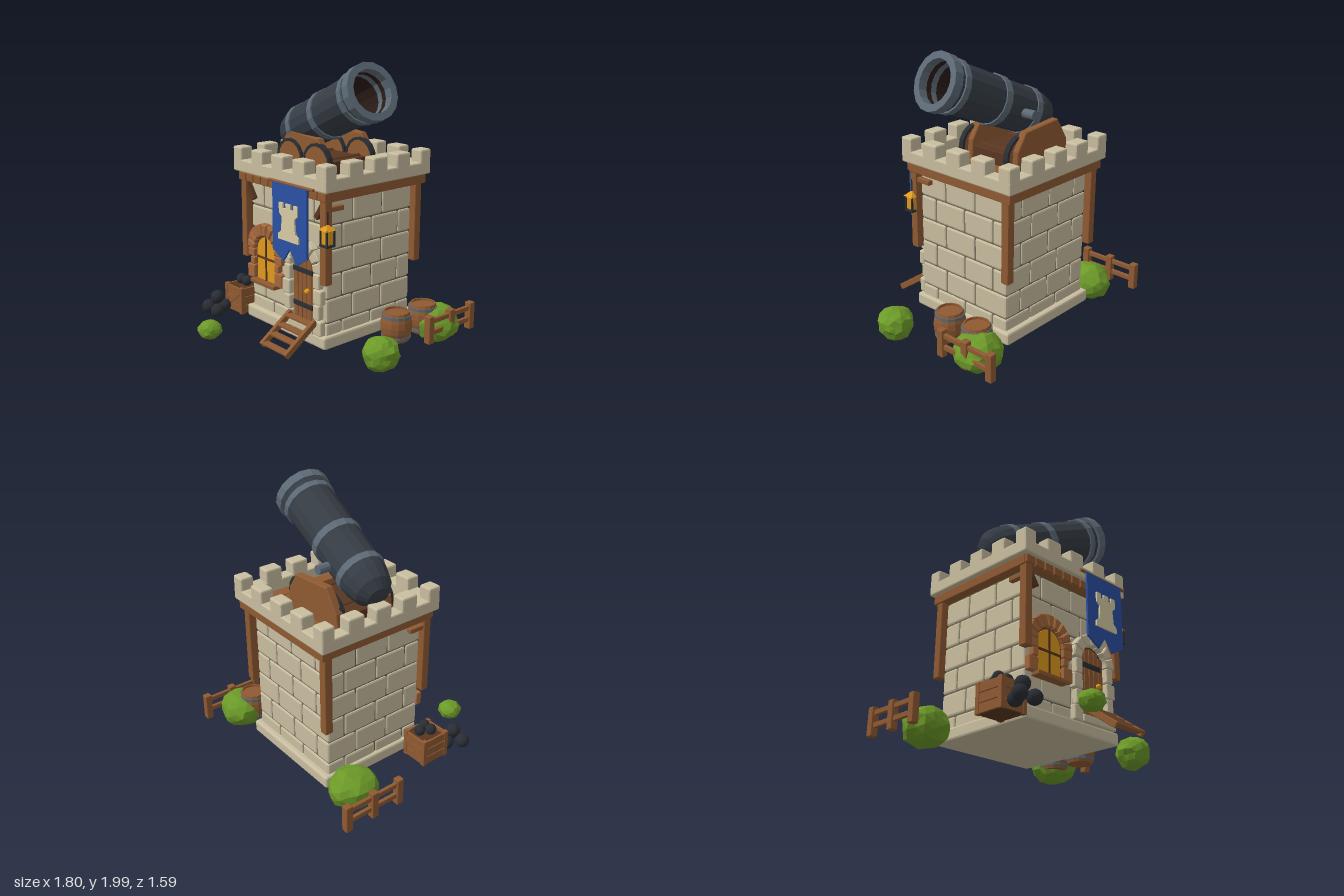
import * as THREE from 'three';
import { RoundedBoxGeometry } from 'three/addons/geometries/RoundedBoxGeometry.js';

const STONE = 0xc9bea0, MORTAR = 0x6e6856, WOOD = 0x8f5a32, DARK_WOOD = 0x5a3620, BRICK = 0xa5683c;
const IRON = 0x363d45, STEEL = 0x5d6a76, BLACK = 0x2a2e34, GOLD = 0xe09a1c, BLUE = 0x2b50a5, GREEN = 0x6c9a28;
const CX = -0.035, CZ = -0.16, GROUND = 0.08;

const mats = {};
const mat = c => mats[c] ??= new THREE.MeshStandardMaterial({ color: c, flatShading: true, side: THREE.DoubleSide });

function add(parent, name, geo, color, pos = [0, 0, 0], rot = [0, 0, 0]) {
  const m = new THREE.Mesh(geo, mat(color));
  m.name = name;
  m.position.set(...pos);
  m.rotation.set(...rot);
  parent.add(m);
  return m;
}
function group(parent, name, pos = [0, 0, 0]) {
  const g = new THREE.Group();
  g.name = name;
  g.position.set(...pos);
  parent.add(g);
  return g;
}
// Bevelled box given by its limits
function block(parent, name, color, [x0, x1], [y0, y1], [z0, z1], r = 0.006) {
  return add(parent, name, new RoundedBoxGeometry(x1 - x0, y1 - y0, z1 - z0, 1, r), color,
    [(x0 + x1) / 2, (y0 + y1) / 2, (z0 + z1) / 2]);
}
const extrude = (shape, depth, bevel = 0) => new THREE.ExtrudeGeometry(shape, {
  depth, curveSegments: 6, bevelEnabled: bevel > 0, bevelSize: bevel, bevelThickness: bevel, bevelOffset: -bevel, bevelSegments: 1 });
const polygon = pts => new THREE.Shape(pts.map(p => new THREE.Vector2(...p)));
const lathe = (pts, n) => new THREE.LatheGeometry(pts.map(p => new THREE.Vector2(...p)), n);
const ball = r => new THREE.IcosahedronGeometry(r, 2);

// Half circle on top of straight sides, base at y = 0
function archShape(r, h) {
  const s = new THREE.Shape();
  s.moveTo(-r, 0).lineTo(r, 0).lineTo(r, h).absarc(0, h, r, 0, Math.PI, false).lineTo(-r, 0);
  return s;
}
function archStones(parent, name, color, [x, y, z], r0, r1, n, depth) {
  for (let i = 0; i < n; i++) {
    const a0 = Math.PI * i / n + 0.02, a1 = Math.PI * (i + 1) / n - 0.02, s = new THREE.Shape();
    s.absarc(0, 0, r1, a0, a1, false).absarc(0, 0, r0, a1, a0, true);
    add(parent, name, extrude(s, depth, 0.008), color, [x, y, z]);
  }
}

function buildWalls(root) {
  const tower = group(root, 'tower');
  block(tower, 'plinth', STONE, [-0.475, 0.405], [GROUND, 0.17], [-0.6, 0.28], 0.015);
  block(tower, 'wallCore', MORTAR, [-0.44, 0.37], [0.1, 1.15], [-0.55, 0.23]);
  // Staggered stone courses on the four sides
  const courses = [[0, 0.3, 0.64, 1], [0, 0.18, 0.52, 0.84, 1]];
  for (let s = 0; s < 4; s++) {
    const side = group(tower, 'stoneWall', [CX, 0, CZ]);
    side.rotation.y = s * Math.PI / 2;
    const half = s % 2 ? 0.402 : 0.415, out = s % 2 ? 0.415 : 0.4;
    for (let row = 0; row < 6; row++) {
      const cuts = courses[(row + (s % 2)) % 2], y = 0.083 + row * 0.172;
      for (let i = 0; i < cuts.length - 1; i++)
        block(side, 'stone', STONE, [(cuts[i] * 2 - 1) * half + 0.003, (cuts[i + 1] * 2 - 1) * half - 0.003],
          [y + 0.003, y + 0.169], [out - 0.06, out], 0.014);
    }
  }
  // Timber ring, corner posts and braces
  block(tower, 'timberRing', WOOD, [-0.51, 0.445], [1.12, 1.19], [-0.64, 0.29]);
  for (let i = 0; i < 11; i++) block(tower, 'joistEnd', WOOD, [-0.505 + i * 0.087, -0.427 + i * 0.087], [1.125, 1.185], [0.25, 0.31]);
  for (const sx of [-1, 1]) for (const sz of [-1, 1]) {
    const x = CX + sx * 0.435, z = CZ + sz * 0.425;
    block(tower, 'cornerPost', WOOD, [x - 0.03, x + 0.03], [0.55, 1.13], [z - 0.03, z + 0.03]);
    if (sz > 0) {
      add(tower, 'brace', new THREE.BoxGeometry(0.035, 0.16, 0.035), DARK_WOOD, [x - sx * 0.045, 1.06, z], [0, 0, -sx * 0.6]);
      block(tower, 'bracket', WOOD, [x - 0.02, x + 0.02], [1.045, 1.08], [0.12, 0.26]);
    }
  }
  // Parapet with merlons, and the plank deck
  for (const s of [-1, 1]) {
    const z = CZ - 0.005 + s * 0.445, x = CX + s * 0.455;
    block(tower, 'parapet', STONE, [-0.54, 0.47], [1.19, 1.28], [z - 0.05, z + 0.05], 0.01);
    block(tower, 'parapet', STONE, [x - 0.05, x + 0.05], [1.19, 1.28], [-0.62, 0.29], 0.01);
    for (let i = -2; i <= 2; i++) {
      const w = Math.abs(i) === 2 ? 0.05 : 0.065, mx = CX + i * 0.2275, mz = CZ - 0.005 + i * 0.2225;
      block(tower, 'merlon', STONE, [mx - w, mx + w], [1.2, 1.37], [z - 0.05, z + 0.05], 0.012);
      if (Math.abs(i) < 2) block(tower, 'merlon', STONE, [x - 0.05, x + 0.05], [1.2, 1.37], [mz - w, mz + w], 0.012);
    }
  }
  for (let i = 0; i < 8; i++) block(tower, 'deckPlank', WOOD, [-0.44 + i * 0.102, -0.342 + i * 0.102], [1.17, 1.205], [-0.6, 0.23]);
}

function buildWindow(root) {
  const w = group(root, 'window', [-0.253, 0.4, 0.24]);
  add(w, 'windowFrame', extrude(archShape(0.122, 0.225), 0.015), DARK_WOOD);
  add(w, 'windowPane', extrude(archShape(0.105, 0.225), 0.022), GOLD);
  block(w, 'mullion', DARK_WOOD, [-0.007, 0.007], [0, 0.33], [0.015, 0.03], 0.002);
  block(w, 'transom', DARK_WOOD, [-0.105, 0.105], [0.165, 0.18], [0.015, 0.03], 0.002);
  block(w, 'windowSill', WOOD, [-0.14, 0.14], [-0.025, 0.005], [0, 0.07]);
  archStones(w, 'windowArchBrick', BRICK, [0, 0.225, 0], 0.117, 0.205, 9, 0.04);
  for (const s of [-1, 1]) [[0, 0.1, 0.2], [0.105, 0.16, 0.165], [0.165, 0.225, 0.2]].forEach(([y0, y1, e]) =>
    block(w, 'windowBrick', BRICK, [s > 0 ? 0.117 : -e, s > 0 ? e : -0.117], [y0, y1], [0, 0.045], 0.008));
}

function buildDoor(root) {
  const d = group(root, 'door', [0.167, 0.17, 0.24]);
  add(d, 'doorPanel', extrude(archShape(0.125, 0.44), 0.006), DARK_WOOD);
  for (let i = -2; i <= 2; i++) {
    const x = i * 0.047, top = 0.44 + Math.sqrt(0.0156 - x * x) - 0.02;
    block(d, 'doorPlank', WOOD, [x - 0.021, x + 0.021], [0.03, top], [0, 0.016], 0.003);
  }
  for (const y of [0.15, 0.4]) block(d, 'doorBand', BLACK, [-0.115, 0.09], [y, y + 0.035], [0.01, 0.024], 0.003);
  add(d, 'doorKnob', ball(0.02), GOLD, [0.05, 0.285, 0.035]);
  block(d, 'threshold', STONE, [-0.13, 0.13], [0, 0.05], [0, 0.06]);
  for (const s of [-1, 1]) for (let i = 0; i < 4; i++) {
    const e = i % 2 ? 0.185 : 0.205;
    block(d, 'doorJambStone', STONE, [s > 0 ? 0.122 : -e, s > 0 ? e : -0.122], [i * 0.11, i * 0.11 + 0.106], [0, 0.05], 0.01);
  }
  archStones(d, 'doorArchStone', STONE, [0, 0.44, 0], 0.122, 0.205, 7, 0.042);
  // Sloping wooden steps
  const st = group(root, 'steps', [0.19, 0.18, 0.42]);
  for (const s of [-1, 1]) add(st, 'stepRail', new RoundedBoxGeometry(0.03, 0.045, 0.32, 1, 0.005), WOOD, [s * 0.13, 0, 0], [0.61, 0, 0]);
  for (let i = 0; i < 4; i++) add(st, 'tread', new RoundedBoxGeometry(0.25, 0.02, 0.055, 1, 0.005), WOOD, [0, 0.075 - i * 0.05, -0.1 + i * 0.07]);
}

function buildBanner(root) {
  const b = group(root, 'banner', [0.172, 0, 0.375]);
  add(b, 'bannerPole', new THREE.CylinderGeometry(0.011, 0.011, 0.46, 8), WOOD, [0, 1.21, 0], [0, 0, Math.PI / 2]);
  add(b, 'bannerCloth', extrude(polygon([[-0.18, 1.205], [-0.18, 0.735], [-0.07, 0.67], [0, 0.77], [0.07, 0.67], [0.18, 0.735], [0.18, 1.205]]), 0.015), BLUE);
  // Plain turret silhouette
  const half = [[0.105, 0.825], [0.105, 0.865], [0.075, 0.885], [0.065, 0.985], [0.095, 1.01], [0.095, 1.08], [0.055, 1.08], [0.055, 1.045], [0.025, 1.045], [0.025, 1.08]];
  add(b, 'bannerTurret', extrude(polygon([...half, ...half.map(([x, y]) => [-x, y]).reverse()]), 0.014), 0xd8cca4, [0, 0, 0.013]);
  // Lantern on the corner post
  const l = group(root, 'lantern', [0.43, 0.89, 0.28]);
  block(l, 'lanternGlass', GOLD, [-0.03, 0.03], [-0.05, 0.05], [-0.03, 0.03]);
  for (const x of [-0.031, 0.031]) for (const z of [-0.031, 0.031]) block(l, 'lanternBar', BLACK, [x - 0.006, x + 0.006], [-0.055, 0.055], [z - 0.006, z + 0.006], 0.001);
  block(l, 'lanternBase', BLACK, [-0.039, 0.039], [-0.065, -0.05], [-0.039, 0.039], 0.003);
  add(l, 'lanternRoof', new THREE.CylinderGeometry(0.008, 0.062, 0.035, 4), GOLD, [0, 0.065, 0], [0, Math.PI / 4, 0]);
  block(l, 'lanternHook', BLACK, [-0.005, 0.005], [0.08, 0.17], [-0.005, 0.005], 0.001);
}

function buildCannon(root) {
  const tip = new THREE.Vector3(-0.46, 1.41, -0.155), axis = new THREE.Vector3(0.96, 0.41, 0.11);
  const c = group(root, 'cannon', tip.toArray());
  c.quaternion.setFromUnitVectors(new THREE.Vector3(0, 1, 0), axis.normalize());
  const N = 16;
  add(c, 'barrelTube', lathe([[0, -0.03], [0.08, -0.01], [0.135, 0.05], [0.16, 0.14], [0.165, 0.22], [0.178, 1.0]], N), IRON);
  const ring = (name, y0, y1, r, inner) => add(c, name, lathe([[inner, y0], [r, y0], [r, y1], [inner, y1], [inner, y0]], N), STEEL);
  ring('tubeBand', 0.195, 0.245, 0.174, 0.15);
  ring('tubeBand', 0.505, 0.56, 0.18, 0.15);
  ring('muzzleBand', 0.9, 0.945, 0.19, 0.15);
  ring('muzzleRing', 0.985, 1.05, 0.2, 0.15);
  add(c, 'bore', lathe([[0.151, 1.045], [0.148, 0.55], [0, 0.55]], N), 0x2a1c18);

  // Carriage under the tube
  const k = group(root, 'carriage');
  add(k, 'trunnion', new THREE.CylinderGeometry(0.033, 0.033, 0.4, 12), STEEL, [-0.11, 1.53, -0.17], [Math.PI / 2, 0, 0]);
  const cheek = polygon([[-0.4, 1.2], [0.14, 1.2], [0.13, 1.34], [0.05, 1.46], [-0.28, 1.485], [-0.38, 1.33]]);
  for (const z of [-0.425, -0.015]) add(k, 'cheek', extrude(cheek, 0.045, 0.006), WOOD, [0, 0, z]);
  block(k, 'carriageBed', DARK_WOOD, [-0.38, 0.12], [1.2, 1.3], [-0.39, 0]);
  for (const x of [-0.24, 0.05]) {
    add(k, 'axle', new THREE.CylinderGeometry(0.025, 0.025, 0.42, 8), DARK_WOOD, [x, 1.29, -0.17], [Math.PI / 2, 0, 0]);
    for (const z of [-0.372, 0.035]) {
      add(k, 'wheel', new THREE.CylinderGeometry(0.128, 0.128, 0.03, 16), WOOD, [x, 1.29, z], [Math.PI / 2, 0, 0]);
      add(k, 'wheelTyre', lathe([[0.122, -0.019], [0.142, -0.019], [0.142, 0.019], [0.122, 0.019], [0.122, -0.019]], 16), BLACK, [x, 1.29, z], [Math.PI / 2, 0, 0]);
    }
  }
}

function buildYard(root) {
  // Barrels
  for (const [x, z] of [[0.58, -0.23], [0.59, -0.49]]) {
    const b = group(root, 'barrel', [x, GROUND, z]);
    add(b, 'staves', lathe([[0, 0.005], [0.09, 0.005], [0.108, 0.07], [0.112, 0.11], [0.108, 0.15], [0.09, 0.215], [0.08, 0.215], [0.08, 0.2], [0, 0.2]], 14), WOOD);
    for (const y of [0.025, 0.175]) add(b, 'hoop', lathe([[0.098, y], [0.105, y], [0.105, y + 0.02], [0.098, y + 0.02]], 14), STEEL);
  }
  // Crate of cannonballs
  const c = group(root, 'crate', [-0.605, GROUND, 0.2]);
  block(c, 'crateBox', DARK_WOOD, [-0.095, 0.095], [0, 0.17], [-0.105, 0.105]);
  for (const s of [-1, 1]) {
    for (let i = 0; i < 3; i++) {
      block(c, 'crateSlat', WOOD, [-0.1, 0.1], [0.004 + i * 0.066, 0.066 + i * 0.066], [s * 0.105 - 0.008, s * 0.105 + 0.008], 0.003);
      block(c, 'crateSlat', WOOD, [s * 0.095 - 0.008, s * 0.095 + 0.008], [0.004 + i * 0.066, 0.066 + i * 0.066], [-0.1, 0.1], 0.003);
    }
    for (const t of [-1, 1]) block(c, 'cratePost', WOOD, [s * 0.09 - 0.017, s * 0.09 + 0.017], [0, 0.205], [t * 0.1 - 0.017, t * 0.1 + 0.017], 0.003);
    add(c, 'crateBrace', new THREE.BoxGeometry(0.22, 0.025, 0.012), WOOD, [0, 0.1, s * 0.116], [0, 0, 0.65]);
  }
  for (const [x, z] of [[-0.6, 0.14], [-0.64, 0.21], [-0.57, 0.21]]) add(root, 'cratedCannonball', ball(0.04), BLACK, [x, 0.31, z]);
  for (const [x, y, z] of [[-0.71, 0.13, 0.47], [-0.59, 0.13, 0.47], [-0.65, 0.13, 0.37], [-0.65, 0.21, 0.43]])
    add(root, 'cannonball', ball(0.051), BLACK, [x, y, z]);
  // Fences
  for (const [x, z] of [[-0.875, -0.52], [0.775, -0.57]]) {
    const f = group(root, 'fence', [x, GROUND, z]);
    for (const dz of [-0.215, 0, 0.215]) block(f, 'fencePost', WOOD, [-0.026, 0.026], [0, 0.2], [dz - 0.026, dz + 0.026]);
    for (const y of [0.055, 0.14]) block(f, 'fenceRail', WOOD, [-0.013, 0.013], [y, y + 0.035], [-0.21, 0.21], 0.004);
  }
  // Faceted bushes, roughened by a position hash
  for (const [x, y, z, rx, ry, rz] of [[-0.63, 0.15, -0.49, 0.165, 0.15, 0.18], [0.65, 0.145, -0.56, 0.175, 0.145, 0.17],
    [0.77, 0.14, 0.11, 0.135, 0.125, 0.13], [-0.35, 0.115, 0.7, 0.09, 0.07, 0.09]]) {
    const geo = new THREE.IcosahedronGeometry(1, 2), p = geo.attributes.position, v = new THREE.Vector3();
    for (let i = 0; i < p.count; i++) {
      v.fromBufferAttribute(p, i);
      const h = Math.sin(Math.round(v.x * 50) * 12.99 + Math.round(v.y * 50) * 78.23 + Math.round(v.z * 50) * 37.72 + x * 9) * 437.5;
      v.multiplyScalar(0.88 + 0.14 * (h - Math.floor(h)));
      p.setXYZ(i, v.x * rx, v.y * ry, v.z * rz);
    }
    geo.computeVertexNormals();
    add(root, 'bush', geo, GREEN, [x, y, z]);
  }
}

export function createModel() {
  const root = new THREE.Group();
  root.name = 'cannonTower';
  [buildWalls, buildWindow, buildDoor, buildBanner, buildCannon, buildYard].forEach(build => build(root));
  return root;
}
